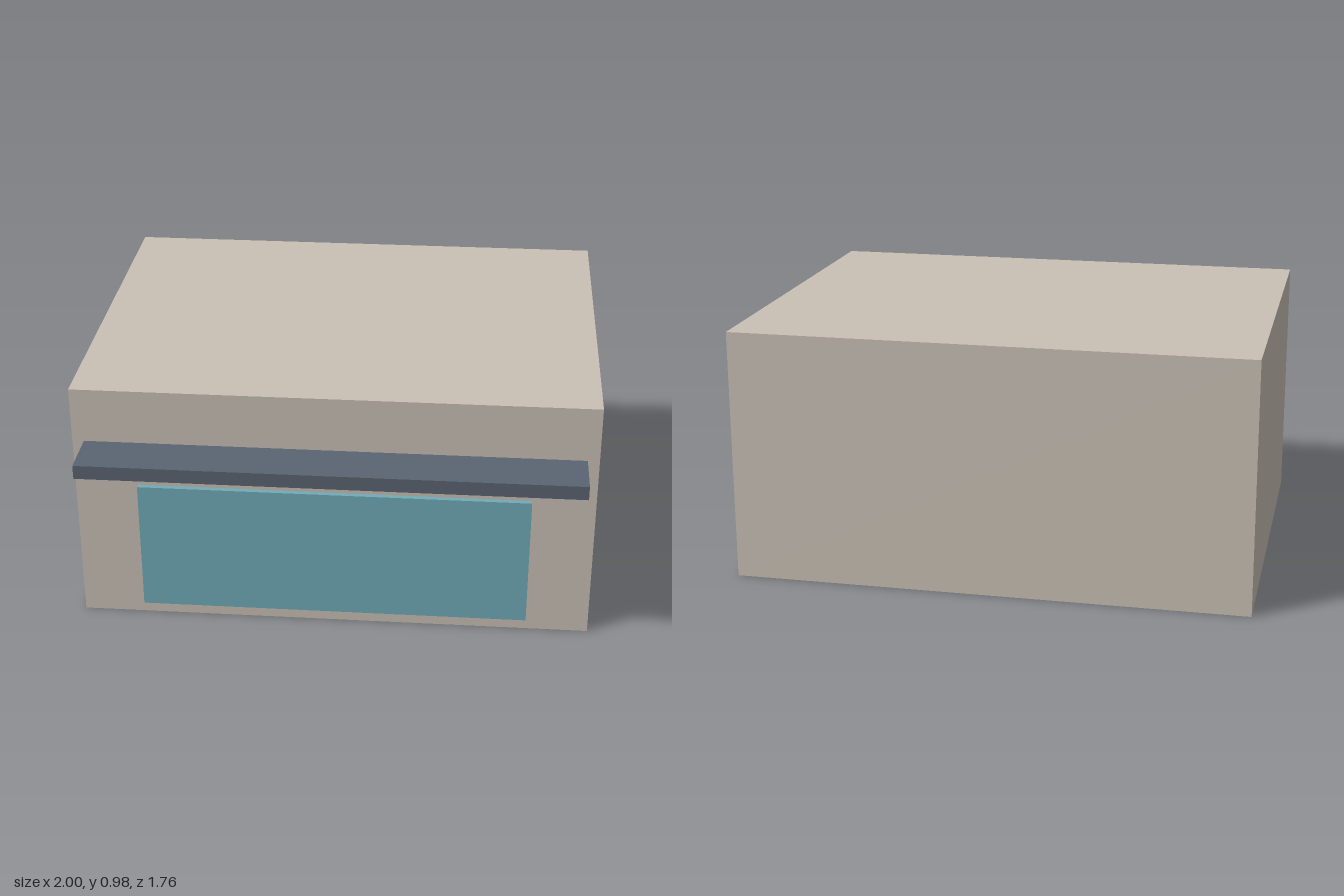
import * as THREE from 'three';

export function createModel() {
  const group = new THREE.Group();
  const material = (name, color) => {
    const m = new THREE.MeshStandardMaterial({ color });
    m.name = name;
    return m;
  };
  const wall = material('warm grey wall', 0xc9c0b5);
  const slate = material('slate canopy', 0x5a6472);
  const glass = material('teal glass', 0x70abb8);

  // Box given by its lower and upper corners
  const box = (name, mat, [x0, y0, z0], [x1, y1, z1]) => {
    const mesh = new THREE.Mesh(new THREE.BoxGeometry(x1 - x0, y1 - y0, z1 - z0), mat);
    mesh.position.set((x0 + x1) / 2, (y0 + y1) / 2, (z0 + z1) / 2);
    mesh.name = name;
    group.add(mesh);
  };

  // Main block of the building
  box('building', wall, [-1, 0, -0.878], [1, 0.98, 0.68]);
  // Shopfront glazing, standing slightly proud of the wall
  box('shopWindow', glass, [-0.757, 0.05, 0.68], [0.757, 0.58, 0.70]);
  // Flat canopy above the glazing
  box('canopy', slate, [-0.955, 0.708, 0.68], [0.955, 0.763, 0.878]);

  return group;
}
